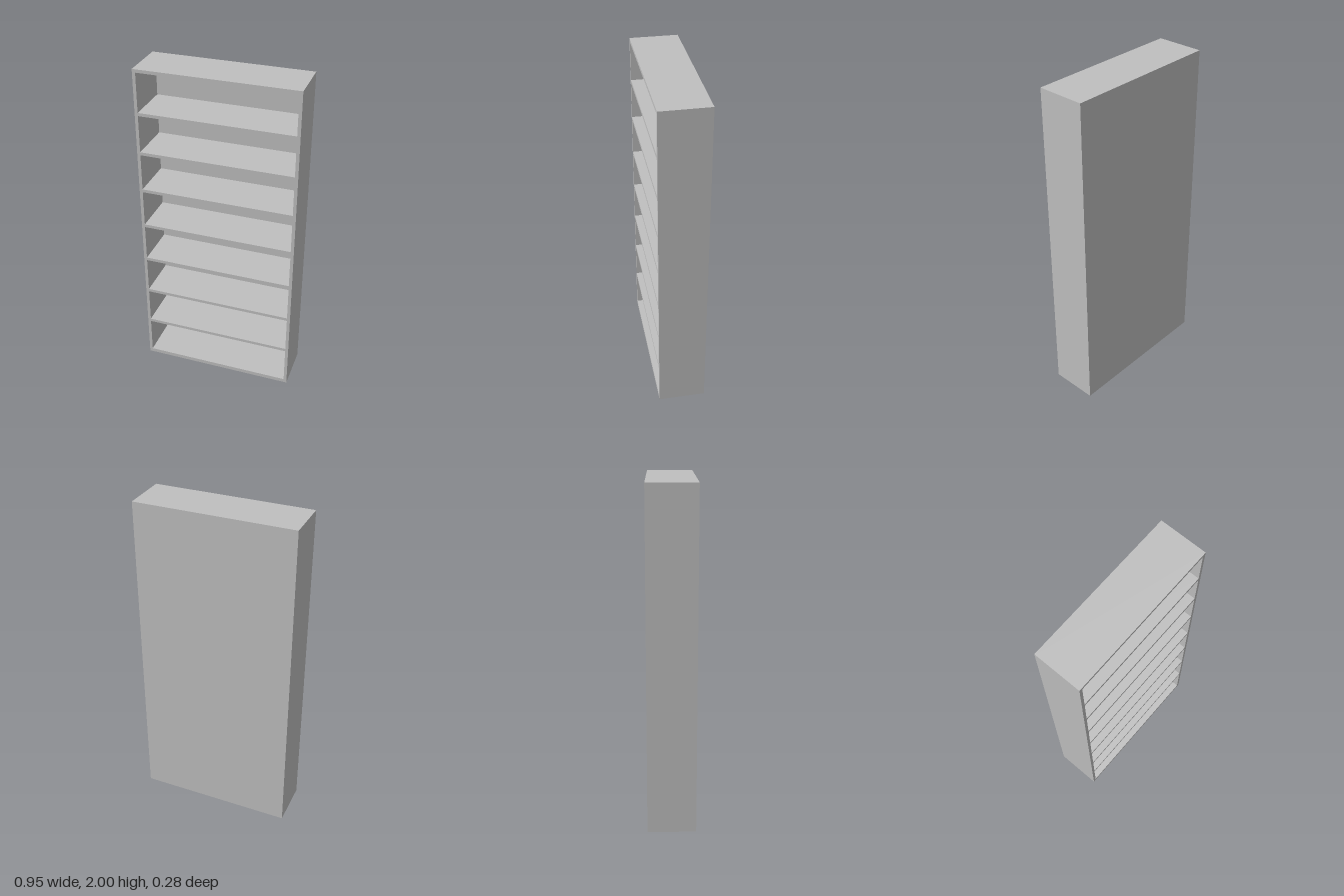
import * as THREE from 'three';

const W = 0.95, H = 2, D = 0.284;
const BOARD = 0.019, BASE = 0.024, BACK = 0.006;
const SHELVES = 7, FIRST_SHELF = 0.27, PITCH = 0.2443; // shelf centre heights

export function createModel() {
  const grey = new THREE.MeshStandardMaterial({ color: 0xbfbfbf });
  grey.name = 'grey';
  const model = new THREE.Group();
  model.name = 'bookcase';

  const rect = (path, x0, y0, x1, y1) =>
    path.moveTo(x0, y0).lineTo(x1, y0).lineTo(x1, y1).lineTo(x0, y1).closePath();

  // Sides, top, base and shelves: one outline with a hole for each compartment
  const outline = rect(new THREE.Shape(), -W / 2, 0, W / 2, H);
  const inner = W / 2 - BOARD;
  for (let i = 0; i <= SHELVES; i++) {
    const floor = i === 0 ? BASE : FIRST_SHELF + (i - 1) * PITCH + BOARD / 2;
    const ceiling = i === SHELVES ? H - BOARD : FIRST_SHELF + i * PITCH - BOARD / 2;
    outline.holes.push(rect(new THREE.Path(), -inner, floor, inner, ceiling));
  }
  const frame = new THREE.Mesh(
    new THREE.ExtrudeGeometry(outline, { depth: D - BACK, bevelEnabled: false }), grey);
  frame.position.z = -D / 2 + BACK;
  frame.name = 'frameAndShelves';

  // Thin panel closing the back
  const back = new THREE.Mesh(new THREE.BoxGeometry(W, H, BACK), grey);
  back.position.set(0, H / 2, -D / 2 + BACK / 2);
  back.name = 'backPanel';

  model.add(frame, back);
  return model;
}
